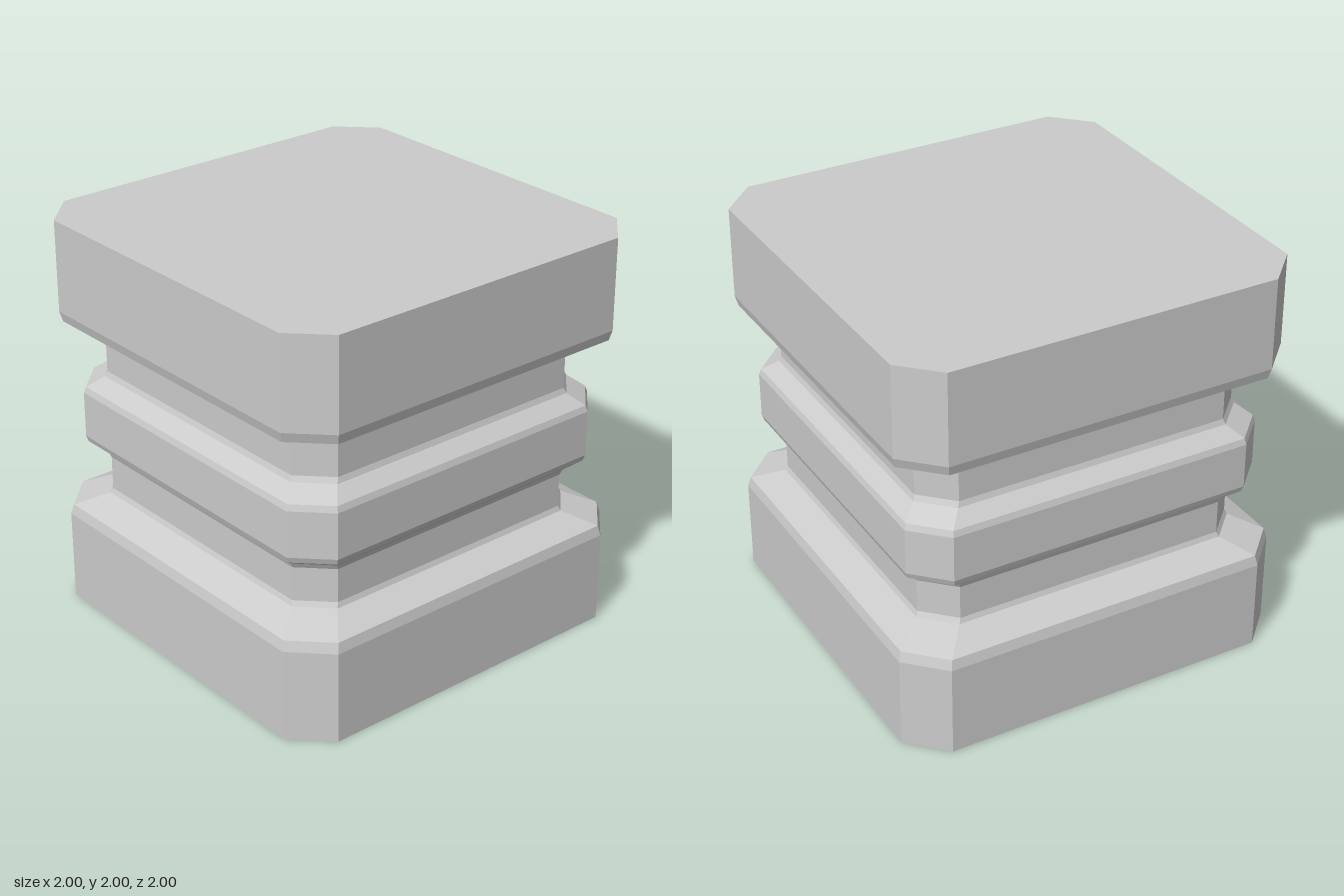
import * as THREE from 'three';

// Lower half of the profile: [half width, half length of the flat side, height]
const lower = [
  [1.0, 0.826, 0], [1.0, 0.826, 0.46], [0.987, 0.817, 0.51],
  [0.846, 0.702, 0.575], [0.836, 0.692, 0.6], [0.836, 0.692, 0.77],
  [0.846, 0.702, 0.797], [0.916, 0.763, 0.855], [0.926, 0.768, 0.885],
];
// The upper half mirrors the lower half about y = 1
const profile = [...lower, ...lower.slice().reverse().map(([h, c, y]) => [h, c, 2 - y])];

// Square with chamfered corners, counter-clockwise seen from above
function ring([h, c, y]) {
  return [[h, c], [h, -c], [c, -h], [-c, -h], [-h, -c], [-h, c], [-c, h], [c, h]]
    .map(([x, z]) => [x, y, z]);
}

// Skin consecutive rings and close both ends
function loft(rings) {
  const pos = [];
  const tri = (...points) => points.forEach((p) => pos.push(...p));
  for (let i = 0; i < rings.length - 1; i++) {
    const a = rings[i], b = rings[i + 1];
    for (let j = 0; j < a.length; j++) {
      const k = (j + 1) % a.length;
      tri(a[j], a[k], b[k]);
      tri(a[j], b[k], b[j]);
    }
  }
  const bottom = rings[0], top = rings[rings.length - 1];
  for (let j = 1; j < top.length - 1; j++) {
    tri(top[0], top[j], top[j + 1]);
    tri(bottom[0], bottom[j + 1], bottom[j]);
  }
  const geometry = new THREE.BufferGeometry();
  geometry.setAttribute('position', new THREE.Float32BufferAttribute(pos, 3));
  geometry.computeVertexNormals();
  return geometry;
}

export function createModel() {
  const group = new THREE.Group();
  group.name = 'pillarBlock';
  const material = new THREE.MeshStandardMaterial({ color: 0xcccccc, flatShading: true });
  // Base, grooved waist with raised band, and cap in one continuous body
  const body = new THREE.Mesh(loft(profile.map(ring)), material);
  body.name = 'groovedPillarBody';
  group.add(body);
  return group;
}
